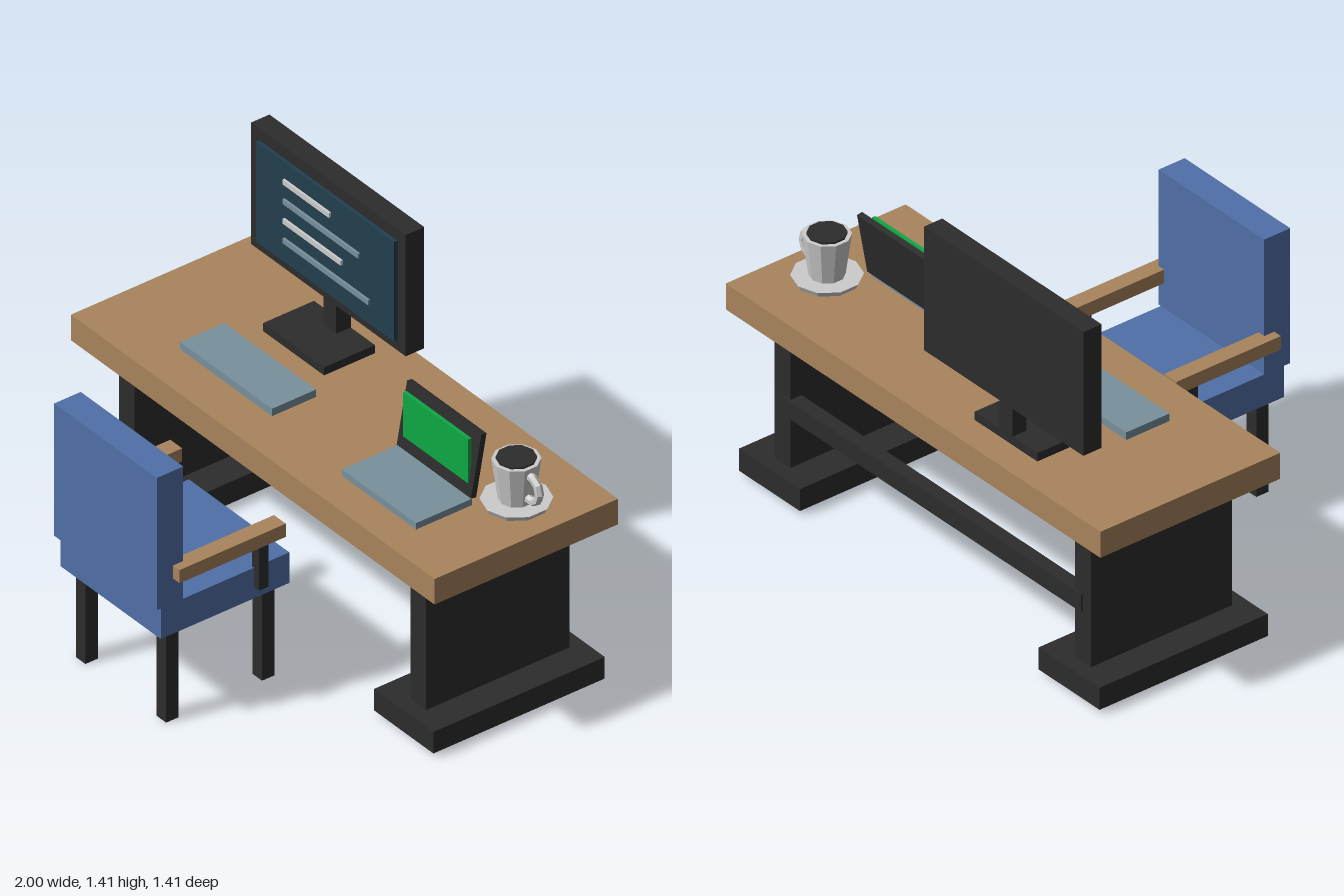
import * as THREE from 'three';

const mat = (name, color, extra = {}) => {
  const m = new THREE.MeshStandardMaterial({ color, ...extra });
  m.name = name;
  return m;
};

export function createModel() {
  const wood = mat('wood', 0xa9845c);
  const dark = mat('charcoal', 0x2c2c2c);
  const blue = mat('blue upholstery', 0x5070a8);
  const greyBlue = mat('grey blue', 0x78909c);
  const screenBlue = mat('dark teal screen', 0x213f4e);
  const green = mat('green screen', 0x0fa844);
  const china = mat('white china', 0xcccccc, { flatShading: true });

  const model = new THREE.Group();
  model.name = 'deskWorkspace';
  const group = (name) => {
    const g = new THREE.Group();
    g.name = name;
    model.add(g);
    return g;
  };
  const add = (parent, name, geometry, material, x, y, z) => {
    const m = new THREE.Mesh(geometry, material);
    m.name = name;
    m.position.set(x, y, z);
    parent.add(m);
    return m;
  };
  // Box given by its extents along each axis
  const box = (parent, name, material, [x0, x1], [y0, y1], [z0, z1]) =>
    add(parent, name, new THREE.BoxGeometry(x1 - x0, y1 - y0, z1 - z0), material,
      (x0 + x1) / 2, (y0 + y1) / 2, (z0 + z1) / 2);
  const around = (c, w) => [c - w / 2, c + w / 2];

  // Desk
  const desk = group('desk');
  box(desk, 'deskTop', wood, [-1, 1], [0.653, 0.757], [-0.705, 0.077]);
  box(desk, 'crossBar', dark, [-0.8, 0.8], [0.305, 0.375], [-0.627, -0.57]);
  for (const s of [-1, 1]) {
    box(desk, 'sidePanel', dark, around(s * 0.802, 0.085), [0.1, 0.653], [-0.62, -0.007]);
    box(desk, 'foot', dark, around(s * 0.8, 0.326), [0.015, 0.103], [-0.678, 0.053]);
  }

  // Monitor with lines on its screen
  const monitor = group('monitor');
  box(monitor, 'monitorBase', dark, [-0.525, -0.19], [0.757, 0.79], [-0.592, -0.375]);
  box(monitor, 'monitorNeck', dark, [-0.392, -0.323], [0.79, 0.93], [-0.592, -0.53]);
  box(monitor, 'monitorCase', dark, [-0.783, 0.068], [0.912, 1.407], [-0.602, -0.523]);
  box(monitor, 'monitorScreen', screenBlue, [-0.738, 0.022], [0.953, 1.36], [-0.523, -0.509]);
  [-0.325, -0.165, -0.26, -0.11].forEach((end, i) =>
    box(monitor, 'screenLine', i % 2 ? greyBlue : china, [-0.58, end],
      around(1.284 - i * 0.08, 0.02), [-0.509, -0.5]));

  // Keyboard
  box(model, 'keyboard', greyBlue, [-0.61, -0.105], [0.757, 0.787], [-0.275, -0.087]);

  // Laptop
  const laptop = group('laptop');
  box(laptop, 'laptopBase', greyBlue, [0.32, 0.728], [0.757, 0.783], [-0.295, -0.055]);
  box(laptop, 'laptopLid', dark, [0.319, 0.728], around(0.905, 0.248), around(-0.323, 0.022))
    .rotation.x = -0.18;
  box(laptop, 'laptopScreen', green, [0.345, 0.703], [0.83, 1.01], [-0.311, -0.297]);

  // Mug on a saucer
  const mug = group('mug');
  mug.position.set(0.807, 0, -0.422);
  add(mug, 'saucer', new THREE.CylinderGeometry(0.125, 0.115, 0.02, 10), china, 0, 0.767, 0);
  add(mug, 'cup', new THREE.CylinderGeometry(0.085, 0.063, 0.162, 10), china, 0, 0.857, 0);
  add(mug, 'coffee', new THREE.CylinderGeometry(0.07, 0.07, 0.008, 10), dark, 0, 0.941, 0);
  add(mug, 'mugHandle', new THREE.TorusGeometry(0.05, 0.016, 6, 10), china, 0.077, 0.857, 0);

  // Chair
  const chair = group('chair');
  box(chair, 'seat', blue, [-0.276, 0.276], [0.375, 0.5], [0.135, 0.683]);
  box(chair, 'backrest', blue, [-0.282, 0.282], [0.505, 1.045], [0.592, 0.705]);
  for (const s of [-1, 1]) {
    for (const z of [0.203, 0.612])
      box(chair, 'chairLeg', dark, around(s * 0.222, 0.052), [0, 0.375], around(z, 0.053));
    box(chair, 'armrest', wood, around(s * 0.285, 0.065), [0.605, 0.659], [0.182, 0.635]);
    box(chair, 'armPost', dark, around(s * 0.285, 0.04), [0.422, 0.605], [0.246, 0.286]);
  }

  return model;
}
